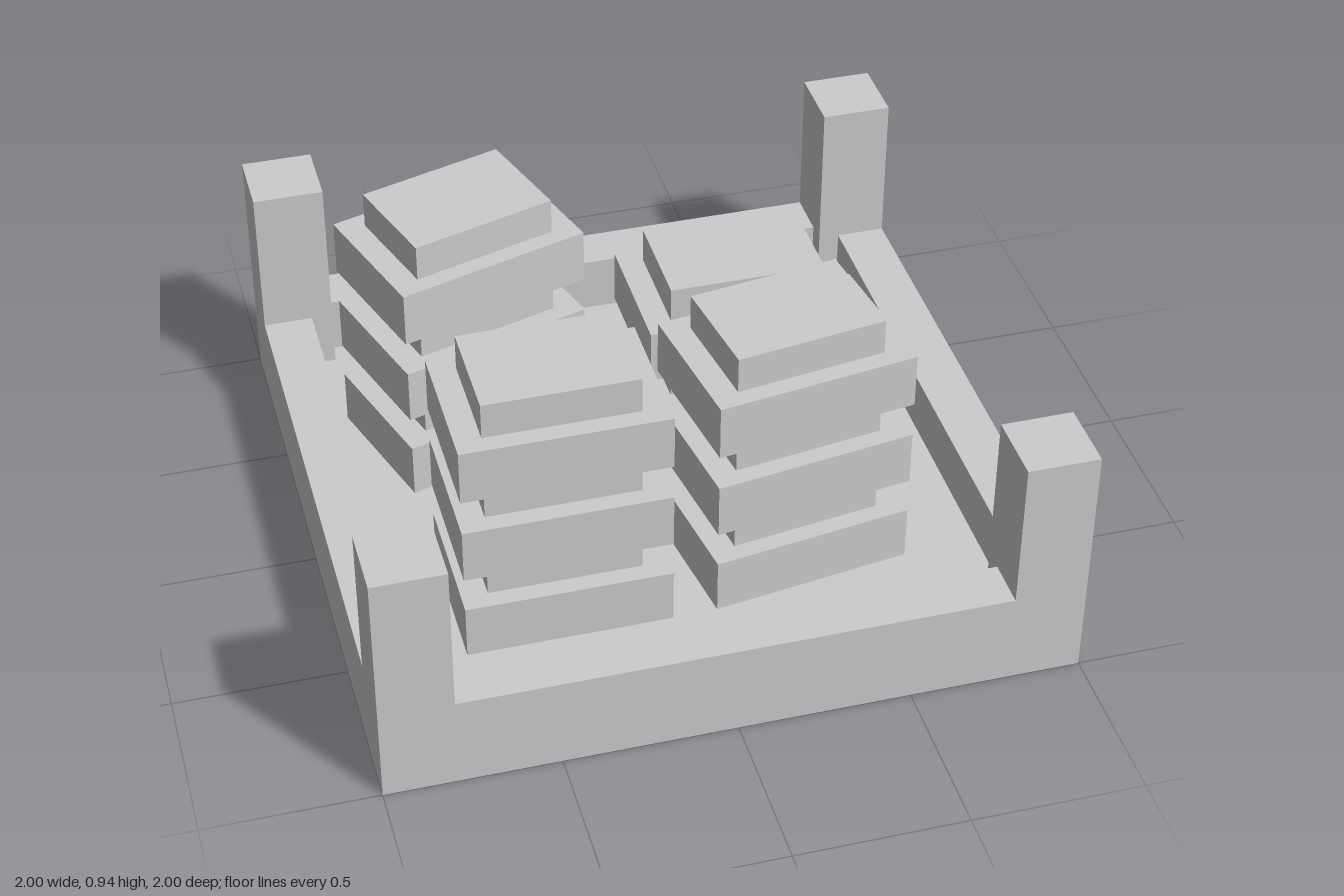
import * as THREE from 'three';

const material = new THREE.MeshStandardMaterial({ color: 0xcccccc, flatShading: true });

// Box standing on height y, centred on x and z
function box(name, w, h, d, x, y, z) {
  const mesh = new THREE.Mesh(new THREE.BoxGeometry(w, h, d), material);
  mesh.name = name;
  mesh.position.set(x, y + h / 2, z);
  return mesh;
}

const FLOOR = 0.11, RIM = 0.285, WALL = 0.147, POST = 0.21, POST_TOP = 0.745;
const BODY_H = 0.167, CAP_H = 0.109;

// Pile of crates, each a wide body with a smaller block on top
function crateStack(name, x, z, angle, count) {
  const stack = new THREE.Group();
  stack.name = name;
  stack.position.set(x, FLOOR, z);
  stack.rotation.y = THREE.MathUtils.degToRad(angle);
  for (let i = 0; i < count; i++) {
    const y = i * (BODY_H + CAP_H);
    stack.add(box('crateBody', 0.595, BODY_H, 0.424, 0, y, 0));
    stack.add(box('crateTop', 0.444, CAP_H, 0.316, 0, y + BODY_H, 0));
  }
  return stack;
}

export function createModel() {
  const model = new THREE.Group();
  model.name = 'crateTray';

  // Tray floor
  model.add(box('floor', 2, FLOOR, 2, 0, 0, 0));

  // Low walls between the corner posts
  const wallH = RIM - FLOOR, wallLen = 2 - 2 * POST, off = 1 - WALL / 2;
  for (const s of [-1, 1]) {
    model.add(box(s > 0 ? 'frontWall' : 'backWall', wallLen, wallH, WALL, 0, FLOOR, s * off));
    model.add(box(s > 0 ? 'leftWall' : 'rightWall', WALL, wallH, wallLen, s * off, FLOOR, 0));
    // Corner posts
    for (const t of [-1, 1]) {
      const p = 1 - POST / 2;
      model.add(box('cornerPost', POST, POST_TOP - FLOOR, POST, s * p, FLOOR, t * p));
    }
  }

  // Four piles, two of them turned
  model.add(crateStack('frontRightStack', -0.385, 0.425, 0, 3));
  model.add(crateStack('frontLeftStack', 0.305, 0.381, 8.4, 3));
  model.add(crateStack('backRightStack', -0.46, -0.38, 17.2, 3));
  model.add(crateStack('backLeftStack', 0.34, -0.302, 0, 2));

  return model;
}
